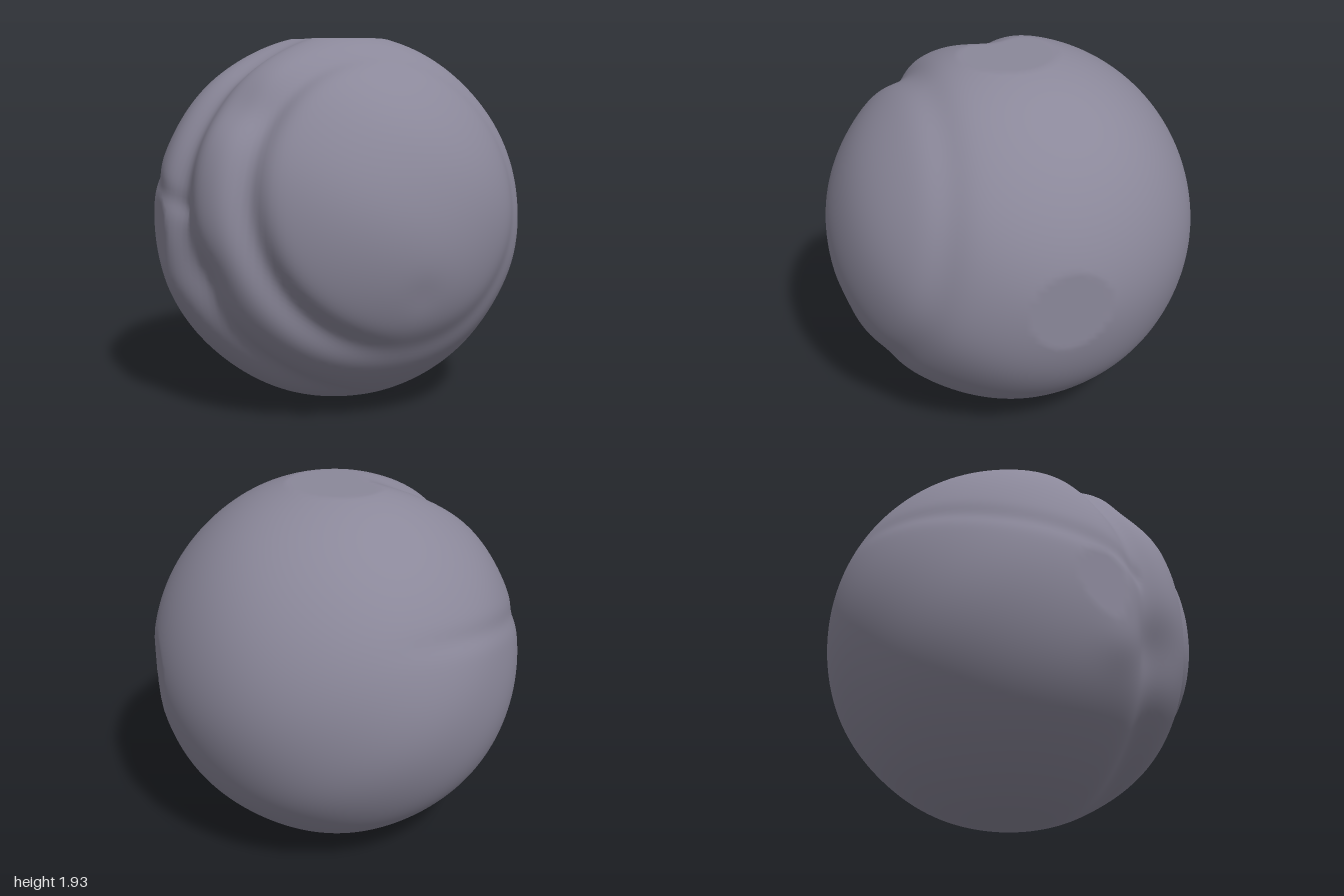
import * as THREE from 'three';

const RADIUS = 0.995;
const CENTRE_Y = 0.97;
const faceAxis = new THREE.Vector3(0.05, 0.23, 0.97).normalize();

const bell = (x, centre, width) => Math.exp(-(((x - centre) / width) ** 2));
const dir = (x, y, z) => new THREE.Vector3(x, y, z).normalize();

// Local dents and swellings: direction, angular width, height
const lumps = [
  [dir(-0.65, 0.63, 0.42), 0.16, -0.03],
  [dir(-0.87, -0.25, 0.41), 0.18, -0.035],
  [dir(-0.93, -0.3, 0.1), 0.13, 0.012],
  [dir(0.6, -0.6, 0.5), 0.35, -0.01],
  [dir(0.1, -0.28, 0.95), 0.1, -0.006],
  [dir(-0.75, 0.2, -0.65), 0.4, -0.012],
];

// Height of the stone's surface in a direction
function surfaceRadius(d) {
  const angle = d.angleTo(faceAxis);
  const left = THREE.MathUtils.smoothstep(-d.x, -0.1, 0.6);
  let r = RADIUS;
  // Groove around the round front face, deepest on one side
  r -= (0.014 + 0.042 * left) * bell(angle, 0.85, 0.1);
  // Second groove further back on that side
  r -= 0.065 * left * bell(angle, 1.33, 0.13);
  // Shallow belt running round the back
  r -= 0.012 * left * bell(d.y, 0.18 - 0.25 * d.z, 0.06) * (d.z < 0.3 ? 1 : 0);
  for (const [centre, width, height] of lumps) r += height * bell(d.angleTo(centre), 0, width);
  // Faint worn unevenness
  r += 0.003 * Math.sin(7 * d.x + 3 * d.y) * Math.sin(6 * d.y - 4 * d.z + 1);
  return r;
}

export function createModel() {
  const group = new THREE.Group();
  group.name = 'boulder';
  const stone = new THREE.MeshStandardMaterial({ color: 0x8b889a });
  stone.name = 'grey stone';

  const geometry = new THREE.SphereGeometry(1, 160, 110);
  const pos = geometry.attributes.position;
  const nor = geometry.attributes.normal;
  const place = (d) => {
    const p = d.clone().multiplyScalar(surfaceRadius(d));
    // Worn flats on the top, base and both sides
    p.x = THREE.MathUtils.clamp(p.x, -0.977, 0.972);
    p.y = THREE.MathUtils.clamp(p.y, -CENTRE_Y, 0.96);
    p.y += CENTRE_Y;
    return p;
  };
  const d = new THREE.Vector3();
  for (let i = 0; i < pos.count; i++) {
    d.fromBufferAttribute(pos, i).normalize();
    // Smooth normal from two neighbouring surface points, seamless at the poles
    const side = Math.abs(d.y) > 0.9 ? new THREE.Vector3(1, 0, 0) : new THREE.Vector3(0, 1, 0);
    const u = side.cross(d).normalize().multiplyScalar(0.02);
    const v = d.clone().cross(u);
    const step = (s, k) => place(d.clone().addScaledVector(s, k).normalize());
    const n = step(u, 1).sub(step(u, -1)).cross(step(v, 1).sub(step(v, -1))).normalize();
    const p = place(d);
    pos.setXYZ(i, p.x, p.y, p.z);
    nor.setXYZ(i, n.x, n.y, n.z);
  }

  const body = new THREE.Mesh(geometry, stone);
  body.name = 'stoneBody';
  group.add(body);
  return group;
}
